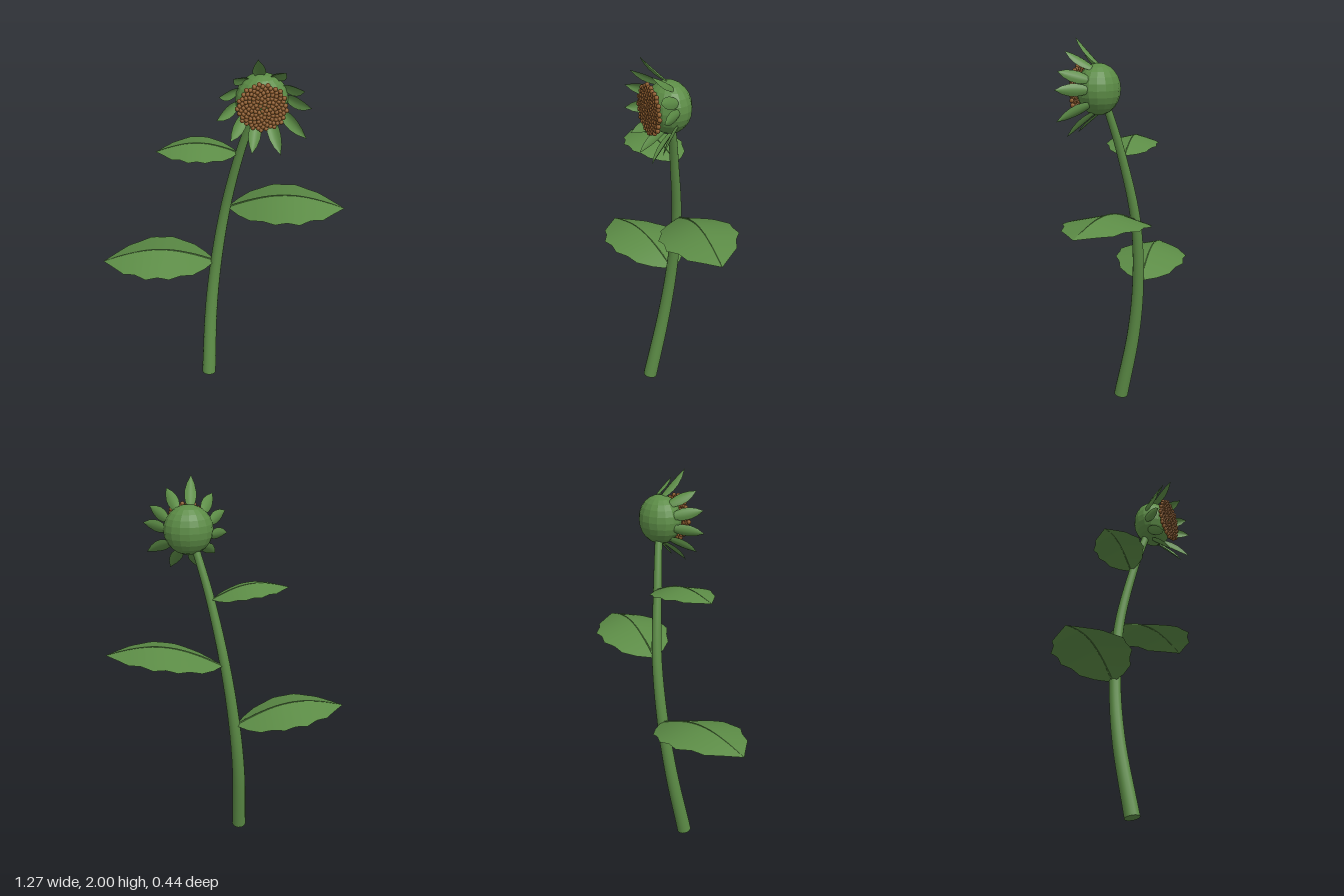
import * as THREE from 'three';
import { mergeGeometries } from 'three/addons/utils/BufferGeometryUtils.js';

const material = (name, color, side = THREE.FrontSide) => {
  const m = new THREE.MeshStandardMaterial({ color, side });
  m.name = name;
  return m;
};

// Smooth grid surface: point(u, v) returns a Vector3 for u, v in 0..1
function surface(rows, cols, point) {
  const pos = [], index = [];
  for (let i = 0; i <= rows; i++) {
    for (let j = 0; j <= cols; j++) pos.push(...point(i / rows, j / cols).toArray());
  }
  for (let i = 0; i < rows; i++) {
    for (let j = 0; j < cols; j++) {
      const a = i * (cols + 1) + j, b = a + cols + 1;
      index.push(a, b, a + 1, b, b + 1, a + 1);
    }
  }
  const g = new THREE.BufferGeometry();
  g.setAttribute('position', new THREE.Float32BufferAttribute(pos, 3));
  g.setIndex(index);
  g.computeVertexNormals();
  return g;
}

// Linear lookup in an evenly spaced list
function sample(list, t) {
  const k = Math.min(t * (list.length - 1), list.length - 1.0001);
  const i = Math.floor(k);
  return THREE.MathUtils.lerp(list[i], list[i + 1], k - i);
}

// Tube whose radius runs from r0 to r1
function taperedTube(curve, segments, sides, r0, r1) {
  const g = new THREE.TubeGeometry(curve, segments, 1, sides);
  const p = g.attributes.position, v = new THREE.Vector3();
  for (let i = 0; i < p.count; i++) {
    const t = Math.floor(i / (sides + 1)) / segments;
    const c = curve.getPointAt(t);
    v.fromBufferAttribute(p, i).sub(c).multiplyScalar(THREE.MathUtils.lerp(r0, r1, t)).add(c);
    p.setXYZ(i, v.x, v.y, v.z);
  }
  return g;
}

const LEAF_WIDTH = [0, 0.085, 0.145, 0.165, 0.2, 0.19, 0.2, 0.155, 0.133, 0.066, 0];

// Arched leaf with toothed edges, drooping away from the midrib
function makeLeaf(name, base, dir, length, scale, green) {
  const leaf = new THREE.Group();
  leaf.name = name;
  const midrib = (t) => new THREE.Vector3(
    dir * length * t,
    scale * (0.05 * t + 0.075 * Math.sin(Math.PI * t)),
    scale * 0.085 * t
  );
  for (const side of [-1, 1]) {
    const blade = surface(20, 4, (t, v) => {
      const w = sample(LEAF_WIDTH, t) * scale * v;
      const p = midrib(t);
      p.y -= 0.25 * w;
      p.z += side * w;
      return p;
    });
    // Keep the upper face as the front
    if (side * dir < 0) {
      const ix = blade.index.array;
      for (let i = 0; i < ix.length; i += 3) [ix[i], ix[i + 1]] = [ix[i + 1], ix[i]];
      blade.computeVertexNormals();
    }
    const mesh = new THREE.Mesh(blade, green);
    mesh.name = side < 0 ? 'leafBackHalf' : 'leafFrontHalf';
    leaf.add(mesh);
  }
  const path = new THREE.CatmullRomCurve3([0, 0.2, 0.4, 0.6, 0.8, 1].map(midrib));
  const vein = new THREE.Mesh(taperedTube(path, 16, 6, 0.005 * scale, 0.001), green);
  vein.name = 'leafVein';
  leaf.add(vein);
  leaf.position.set(...base);
  return leaf;
}

export function createModel() {
  const model = new THREE.Group();
  model.name = 'flower';
  const green = material('leaf green', 0x5c8c46, THREE.DoubleSide);
  const brown = material('seed brown', 0x8b5a2b);
  const add = (parent, name, geometry, mat) => {
    const mesh = new THREE.Mesh(geometry, mat);
    mesh.name = name;
    parent.add(mesh);
    return mesh;
  };

  // Curved stem with a flat cut at the bottom
  const path = new THREE.CatmullRomCurve3([
    [-0.07, 0.01, 0.075], [-0.057, 0.4, -0.005], [-0.028, 0.72, -0.042], [0.022, 1.07, -0.045],
    [0.092, 1.42, 0.005], [0.145, 1.62, 0.045], [0.168, 1.7, 0.065],
  ].map((p) => new THREE.Vector3(...p)));
  add(model, 'stem', taperedTube(path, 32, 14, 0.039, 0.019), green);
  const cut = add(model, 'stemCut', new THREE.CircleGeometry(0.039, 14), green);
  cut.position.copy(path.getPointAt(0));
  cut.quaternion.setFromUnitVectors(new THREE.Vector3(0, 0, 1), path.getTangentAt(0).negate());

  // Three alternating leaves
  model.add(makeLeaf('lowerLeaf', [-0.03, 0.72, -0.052], -1, 0.605, 1, green));
  model.add(makeLeaf('middleLeaf', [0.03, 1.07, -0.052], 1, 0.605, 1, green));
  model.add(makeLeaf('upperLeaf', [0.09, 1.417, -0.008], -1, 0.41, 0.69, green));

  // Flower head, with its own centre as origin and z forward
  const head = new THREE.Group();
  head.name = 'flowerHead';
  head.position.set(0.19, 1.755, 0);
  model.add(head);

  const bulbGeo = new THREE.SphereGeometry(0.125, 16, 12).toNonIndexed();
  bulbGeo.scale(1, 1, 0.84);
  bulbGeo.computeVertexNormals();
  add(head, 'bulb', bulbGeo, green).position.z = 0.085;

  // Flat spiral of seeds; the bulb shows between them in the middle
  const seeds = [];
  const count = 130;
  for (let i = 0; i < count; i++) {
    const r = 0.115 * Math.sqrt((i + 0.5) / count), a = i * 2.39996;
    const g = new THREE.SphereGeometry(0.0115, 8, 6);
    g.translate(r * Math.cos(a), r * Math.sin(a), 0.185);
    seeds.push(g);
  }
  add(head, 'seeds', mergeGeometries(seeds), brown);

  // Cupped sepals flaring forward: [angle in degrees, tip radius]
  const sepals = [
    [96, 0.246], [61.5, 0.21], [27, 0.21], [3, 0.223], [-34, 0.25], [-68, 0.245],
    [-101, 0.227], [-132, 0.215], [-166, 0.214], [162, 0.207], [131, 0.203],
  ];
  const widths = [0.006, 0.016, 0.025, 0.03, 0.029, 0.02, 0];
  for (const [angle, tip] of sepals) {
    const curve = new THREE.QuadraticBezierCurve(
      new THREE.Vector2(0.105, 0.07), new THREE.Vector2(0.145, 0.115), new THREE.Vector2(tip, 0.217)
    );
    const sepal = surface(12, 4, (t, v) => {
      const c = curve.getPoint(t), s = 2 * v - 1, w = sample(widths, t);
      const cup = 0.4 * w * s * s;
      return new THREE.Vector3(c.x - 0.7 * cup, w * s, c.y + 0.7 * cup);
    });
    add(head, 'sepal', sepal, green).rotation.z = THREE.MathUtils.degToRad(angle);
  }
  return model;
}
